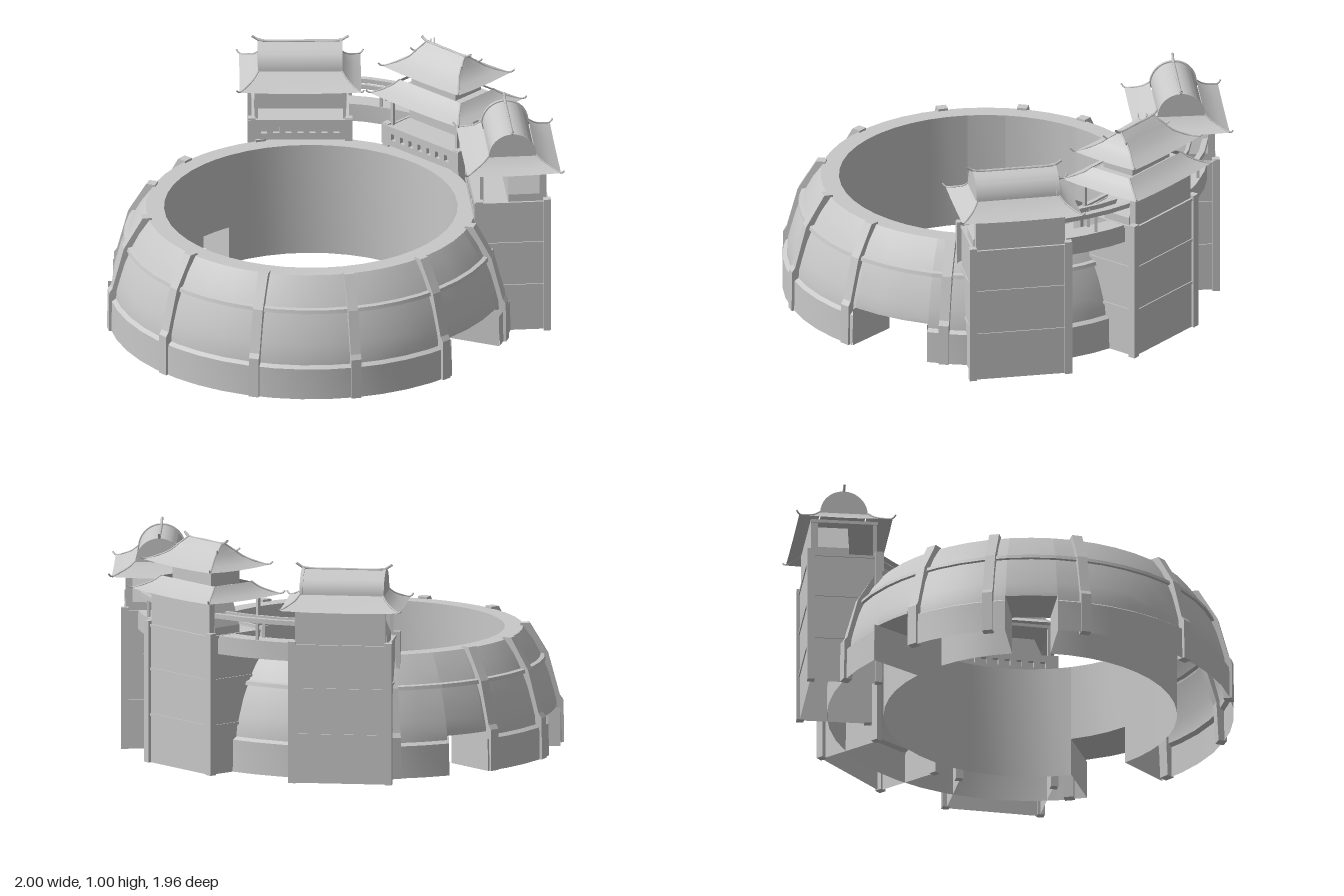
import * as THREE from 'three';
import { toCreasedNormals } from 'three/addons/utils/BufferGeometryUtils.js';

const stone = new THREE.MeshStandardMaterial({ color: 0xc8c8c8, side: THREE.DoubleSide });
stone.name = 'stone grey';

const CX = -0.125, CZ = 0.095; // centre of the ring wall
const rad = THREE.MathUtils.degToRad;

function add(parent, name, geometry, x = 0, y = 0, z = 0) {
  const mesh = new THREE.Mesh(geometry, stone);
  mesh.name = name;
  mesh.position.set(x, y, z);
  parent.add(mesh);
  return mesh;
}
const box = (parent, name, w, h, d, x, y, z) =>
  add(parent, name, new THREE.BoxGeometry(w, h, d), x, y, z);
const polygon = (pts, Type = THREE.Shape) => new Type(pts.map(p => new THREE.Vector2(...p)));
const extrude = (shape, depth) =>
  new THREE.ExtrudeGeometry(shape, { depth, bevelEnabled: false, curveSegments: 14 });

// Part of a ring swept between two azimuths (degrees from +z towards +x)
function arc(profile, from, to) {
  const pts = profile.map(([r, y]) => new THREE.Vector2(r, y));
  const segs = Math.max(2, Math.round((to - from) / 8));
  return toCreasedNormals(new THREE.LatheGeometry(pts, segs, rad(from), rad(to - from)), 0.4);
}

// Thin round bar through points
function bar(parent, name, pts, r = 0.004) {
  const curve = new THREE.CatmullRomCurve3(pts.map(p => new THREE.Vector3(...p)));
  return add(parent, name, new THREE.TubeGeometry(curve, 12, r, 5));
}

// Hipped roof lofted through rectangles [y, halfX, halfZ, cornerLift]
function hipRoof(parent, name, levels) {
  const pos = [], idx = [], n = 16;
  for (const [y, hx, hz, lift] of levels) {
    for (let i = 0; i < n; i++) {
      const side = Math.floor(i / 4), t = (i % 4) / 2 - 1;
      const [u, v] = [[t, 1], [1, -t], [-t, -1], [-1, t]][side];
      pos.push(u * hx, y + lift * (u * v) ** 2, v * hz);
    }
  }
  for (let l = 0; l < levels.length - 1; l++) {
    for (let i = 0; i < n; i++) {
      const a = l * n + i, b = l * n + (i + 1) % n;
      idx.push(a, b, b + n, a, b + n, a + n);
    }
  }
  const g = new THREE.BufferGeometry();
  g.setAttribute('position', new THREE.Float32BufferAttribute(pos, 3));
  g.setIndex(idx);
  add(parent, name, toCreasedNormals(g, 0.5));
  // raised hips with upturned tips
  const [y0, x0, z0, l0] = levels[0];
  for (const sx of [-1, 1]) for (const sz of [-1, 1]) {
    const pts = levels.map(([y, hx, hz, l]) => [sx * hx, y + l + 0.002, sz * hz]);
    pts.unshift([sx * (x0 + 0.012), y0 + l0 + 0.014, sz * (z0 + 0.012)]);
    bar(parent, name + 'Hip', pts);
  }
}

function makeRing(root) {
  const ring = new THREE.Group();
  ring.name = 'ringWall';
  ring.position.set(CX, 0, CZ);
  root.add(ring);

  // hollow shell, open underneath
  const upper = [[0.855, 0.19], [0.842, 0.24], [0.82, 0.315], [0.797, 0.37], [0.81, 0.372],
    [0.806, 0.388], [0.788, 0.392], [0.757, 0.45], [0.712, 0.512], [0.633, 0.512]];
  const solid = [[0.878, 0], [0.876, 0.14], [0.858, 0.152], ...upper, [0.633, 0]];
  const lintel = [[0.633, 0.17], [0.856, 0.17], ...upper, [0.633, 0.17]];

  // wall with three gateways
  const gates = [[-136, -123], [-93, -78], [54, 78]];
  gates.forEach(([from, to], i) => {
    const next = i < 2 ? gates[i + 1][0] : gates[0][0] + 360;
    add(ring, 'gateLintel', arc(lintel, from, to));
    add(ring, 'wall', arc(solid, to, next));
    for (const a of [from, to]) {
      const jamb = add(ring, 'gateJamb', new THREE.PlaneGeometry(0.243, 0.17).translate(0.7545, 0.085, 0));
      jamb.rotation.y = rad(a - 90);
    }
  });

  // buttress ribs
  const ribGeo = extrude(polygon([[0.85, 0], [0.888, 0], [0.886, 0.18], [0.872, 0.2], [0.822, 0.385],
    [0.74, 0.522], [0.70, 0.522], [0.70, 0.5], [0.78, 0.37], [0.84, 0.18]]), 0.044).translate(0, 0, -0.022);
  for (const a of [-152, -121, -98, -70, -36, -6, 23, 51.5, 83]) {
    add(ring, 'rib', ribGeo).rotation.y = rad(a - 90);
  }

  // bridges between the towers
  const beam = (r0, r1, y0, y1) => [[r0, y0], [r1, y0], [r1, y1], [r0, y1], [r0, y0]];
  for (const [from, to] of [[114, 136], [157, 183]]) {
    add(ring, 'bridgeDeck', arc(beam(0.875, 0.96, 0.525, 0.605), from, to));
    add(ring, 'bridgeRail', arc(beam(0.935, 0.96, 0.68, 0.70), from, to));
    add(ring, 'bridgeInnerRail', arc(beam(0.875, 0.89, 0.68, 0.70), from, to));
    const a = rad((from + to) / 2);
    for (const r of [0.883, 0.947])
      box(ring, 'bridgePost', 0.012, 0.09, 0.012, r * Math.sin(a), 0.645, r * Math.cos(a));
  }
}

// Tower in its own frame: +z points away from the ring
function makeTower(root, name, x, z, azimuth, tiered) {
  const t = new THREE.Group();
  t.name = name;
  t.position.set(x, 0, z);
  t.rotation.y = rad(azimuth);
  root.add(t);

  // shaft open towards the ring and underneath, with columns and seams
  add(t, 'shaftOuterWall', new THREE.PlaneGeometry(0.41, 0.6), 0, 0.3, 0.15);
  for (const s of [-1, 1]) {
    add(t, 'shaftSideWall', new THREE.PlaneGeometry(0.3, 0.6), s * 0.205, 0.3, 0).rotation.y = s * Math.PI / 2;
    for (const y of [0.21, 0.41, 0.60]) box(t, 'sideSeam', 0.01, 0.012, 0.3, s * 0.205, y, 0);
    for (const sz of [-1, 1]) {
      box(t, 'cornerColumn', 0.032, 0.62, 0.032, s * 0.209, 0.31, sz * 0.147);
      box(t, 'galleryPost', 0.014, 0.16, 0.014, s * 0.19, 0.69, sz * 0.135);
    }
  }
  for (const y of [0.21, 0.41, 0.60]) box(t, 'outerSeam', 0.41, 0.012, 0.01, 0, y, 0.15);
  box(t, 'galleryFloor', 0.41, 0.012, 0.30, 0, 0.596, 0);

  // parapet with a row of small windows
  const rect = (x0, x1, y0, y1) => [[x0, y0], [x1, y0], [x1, y1], [x0, y1]];
  const face = polygon(rect(-0.225, 0.225, 0.525, 0.615));
  for (let i = -3; i <= 3; i++) {
    const wx = i * 0.052;
    face.holes.push(polygon(rect(wx - 0.013, wx + 0.013, 0.553, 0.583), THREE.Path));
  }
  add(t, 'parapet', extrude(face, 0.018), 0, 0, -0.168);
  box(t, 'parapetBacking', 0.41, 0.09, 0.006, 0, 0.56, -0.147);

  // watch room with sloping side walls
  box(t, 'outerWall', 0.39, 0.17, 0.03, 0, 0.68, 0.13);
  add(t, 'watchRoom', extrude(polygon([[-0.2, 0.6], [0.2, 0.6], [0.2, 0.64],
    [0.145, 0.765], [-0.145, 0.765], [-0.2, 0.64]]), 0.135), 0, 0, -0.02);
  box(t, 'eaveBeam', 0.40, 0.014, 0.29, 0, 0.764, 0);

  // lower roof
  hipRoof(t, 'roof', [[0.755, 0.262, 0.203, 0.006], [0.77, 0.23, 0.168, 0.003],
    [0.792, 0.2, 0.13, 0], [0.816, 0.18, 0.102, 0]]);

  if (tiered) {
    box(t, 'upperRoom', 0.26, 0.09, 0.16, 0, 0.85, 0);
    hipRoof(t, 'upperRoof', [[0.882, 0.225, 0.165, 0.006], [0.90, 0.185, 0.12, 0.003],
      [0.925, 0.15, 0.08, 0], [0.955, 0.13, 0.045, 0]]);
    hipRoof(t, 'ridgeRoof', [[0.945, 0.14, 0.052, 0.004], [0.965, 0.125, 0.03, 0], [0.983, 0.115, 0.006, 0]]);
    bar(t, 'ridge', [[-0.145, 1.0, 0], [-0.12, 0.986, 0], [0, 0.984, 0], [0.12, 0.986, 0], [0.145, 1.0, 0]], 0.006);
  } else {
    // barrel vault with end arches
    const vault = (w, h, len) => {
      const g = extrude(new THREE.Shape().absellipse(0, 0, w, h, 0, Math.PI, false), len);
      return toCreasedNormals(g.translate(0, 0, -len / 2).rotateY(Math.PI / 2), 0.6);
    };
    add(t, 'barrelRoof', vault(0.097, 0.10, 0.35), 0, 0.812, 0);
    for (const s of [-1, 1]) add(t, 'endArch', vault(0.103, 0.105, 0.014), s * 0.176, 0.812, 0);
    bar(t, 'ridge', [[-0.208, 0.937, 0], [-0.185, 0.92, 0], [0, 0.914, 0], [0.185, 0.92, 0], [0.208, 0.937, 0]], 0.006);
  }
}

export function createModel() {
  const root = new THREE.Group();
  root.name = 'ringFortress';
  makeRing(root);
  makeTower(root, 'rightTower', 0.707, -0.098, 105.5, false);
  makeTower(root, 'middleTower', 0.345, -0.597, 147, true);
  makeTower(root, 'backTower', -0.317, -0.717, -169.5, false);
  return root;
}
